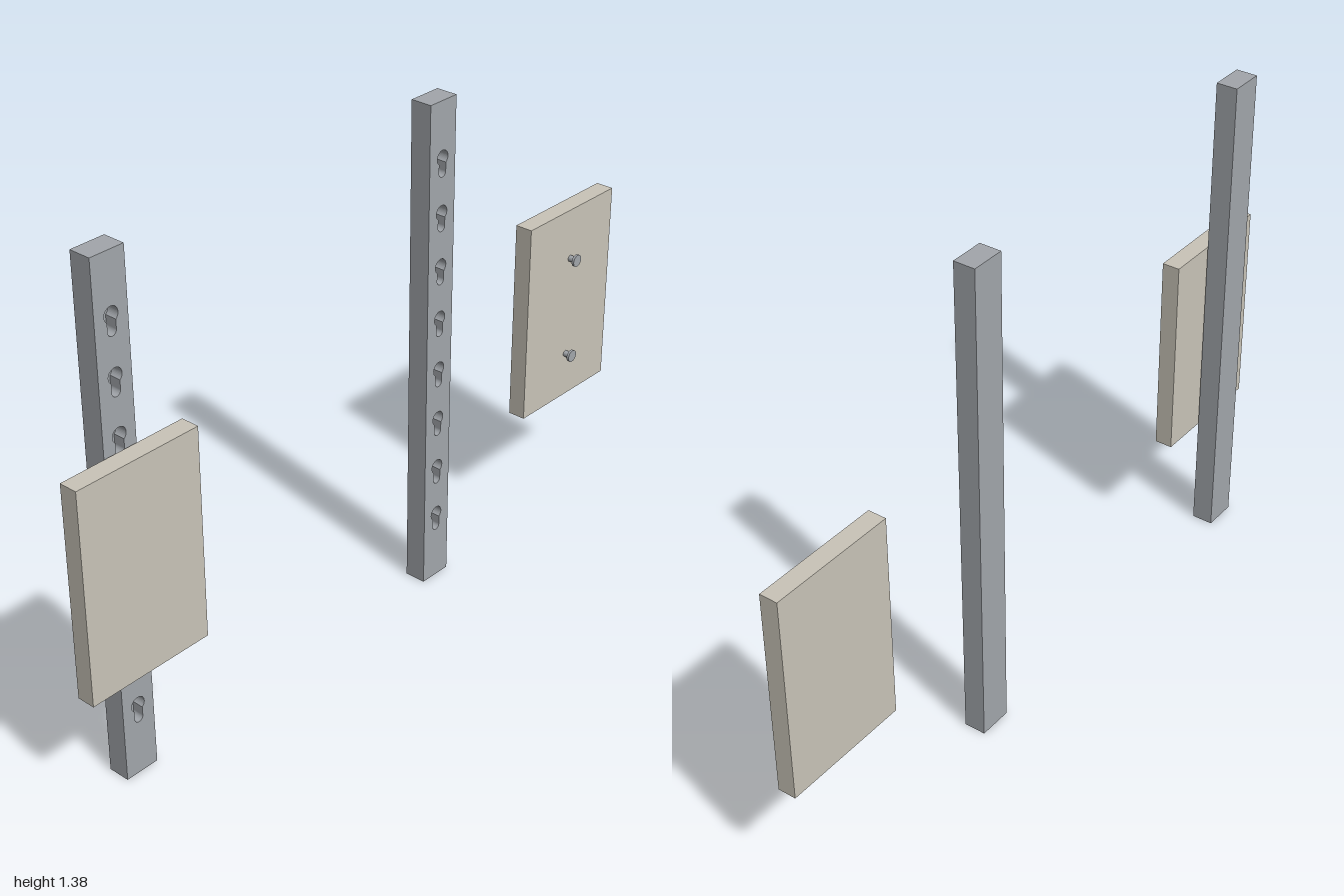
import * as THREE from 'three';

const HOLES = 8, PITCH = 0.1474, TOP_HOLE = 1.23, POST_H = 1.38, POST_W = 0.096;
const FRONT = 0.003, BACK = -0.057, POCKET = 0.032;

// Keyhole outline: round entry above a narrower slot with a rounded end
function keyhole(cy) {
  const R = 0.02, r = 0.0125, drop = 0.039;
  const a = Math.asin(r / R);
  const path = new THREE.Path();
  path.absarc(0, cy, R, -Math.PI / 2 + a, Math.PI * 1.5 - a, false);
  path.absarc(0, cy - drop, r, Math.PI, Math.PI * 2, false);
  path.closePath();
  return path;
}

export function createModel() {
  const model = new THREE.Group();
  const metal = new THREE.MeshStandardMaterial({ color: 0xa2a6ab });
  metal.name = 'grey metal';
  const panel = new THREE.MeshStandardMaterial({ color: 0xc9c4b8 });
  panel.name = 'beige panel';

  const add = (parent, name, geometry, material, x = 0, y = 0, z = 0) => {
    const mesh = new THREE.Mesh(geometry, material);
    mesh.name = name;
    mesh.position.set(x, y, z);
    parent.add(mesh);
    return mesh;
  };

  // Post: pierced front layer, plain sides and back, and the pocket floor
  const face = new THREE.Shape();
  face.moveTo(-POST_W / 2, 0);
  face.lineTo(POST_W / 2, 0);
  face.lineTo(POST_W / 2, POST_H);
  face.lineTo(-POST_W / 2, POST_H);
  face.closePath();
  for (let i = 0; i < HOLES; i++) face.holes.push(keyhole(TOP_HOLE - i * PITCH));
  const frontGeo = new THREE.ExtrudeGeometry(face, { depth: POCKET, bevelEnabled: false, curveSegments: 16 });
  const backDepth = FRONT - POCKET - BACK;
  const backGeo = new THREE.BoxGeometry(POST_W, POST_H, backDepth);

  for (const [name, x] of [['rightPost', -0.823], ['leftPost', 0.262]]) {
    const post = new THREE.Group();
    post.name = name;
    post.position.x = x;
    add(post, 'keyholeFace', frontGeo, metal, 0, 0, FRONT - POCKET);
    add(post, 'postBack', backGeo, metal, 0, POST_H / 2, BACK + backDepth / 2);
    model.add(post);
  }

  // Stud: thin shank with a wider flat head, axis turned to +z
  const profile = [[0.009, 0], [0.009, 0.016], [0.009, 0.016], [0.017, 0.018], [0.017, 0.018],
    [0.017, 0.025], [0.017, 0.025], [0, 0.025]].map(([r, h]) => new THREE.Vector2(r, h));
  const studGeo = new THREE.LatheGeometry(profile, 20).rotateX(Math.PI / 2);
  const boardGeo = new THREE.BoxGeometry(0.36, 0.574, 0.05);

  // Board with its two studs on the local +z face
  const makeBoard = (name, x, z, turn) => {
    const board = new THREE.Group();
    board.name = name;
    add(board, 'panel', boardGeo, panel, 0, 0.61, -0.025);
    for (const y of [0.75, 0.455]) add(board, 'stud', studGeo, metal, 0, y, 0);
    board.position.set(x, 0, z);
    board.rotation.y = turn;
    model.add(board);
  };
  makeBoard('mountedBoard', -0.82, 0.007, Math.PI); // hung on the post
  makeBoard('looseBoard', 0.818, 0, 0);             // studs facing forward

  return model;
}
